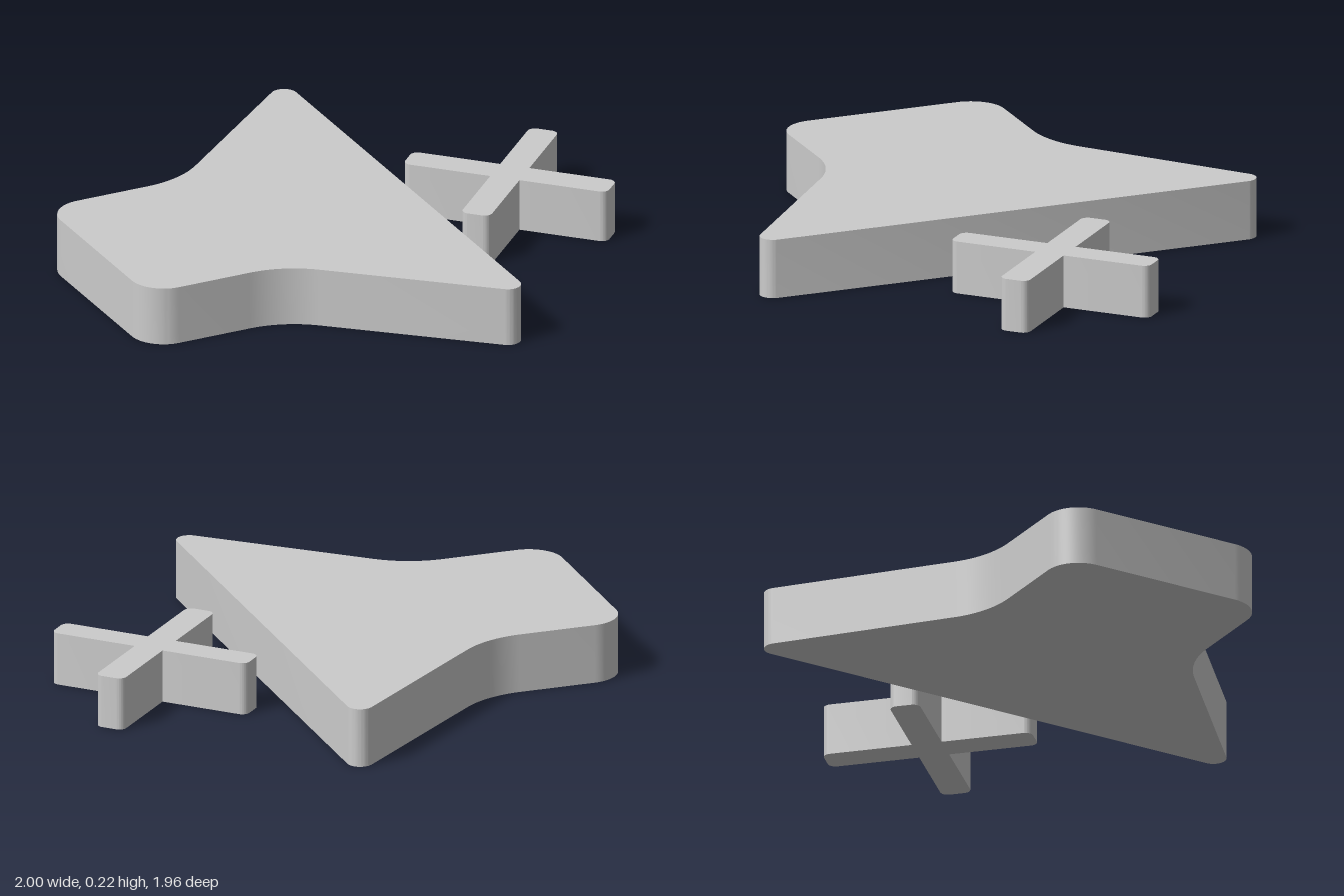
import * as THREE from 'three';
import { toCreasedNormals } from 'three/addons/utils/BufferGeometryUtils.js';

// Closed outline from corners [x, y, radius]; a radius rounds the corner with a tangent arc.
function roundedOutline(corners) {
  const shape = new THREE.Shape();
  const n = corners.length;
  const at = (i) => new THREE.Vector2(corners[(i + n) % n][0], corners[(i + n) % n][1]);
  corners.forEach(([x, y, r], i) => {
    if (!r) {
      shape.lineTo(x, y);
      return;
    }
    const p = at(i);
    const toPrev = at(i - 1).sub(p).normalize();
    const toNext = at(i + 1).sub(p).normalize();
    const half = Math.acos(toPrev.dot(toNext)) / 2;
    const reach = r / Math.tan(half);
    const centre = toPrev.clone().add(toNext).normalize().multiplyScalar(r / Math.sin(half)).add(p);
    const start = toPrev.clone().multiplyScalar(reach).add(p).sub(centre).angle();
    const end = toNext.clone().multiplyScalar(reach).add(p).sub(centre).angle();
    shape.absarc(centre.x, centre.y, r, start, end, toPrev.cross(toNext) > 0);
  });
  shape.closePath();
  return shape;
}

// Flat plate standing on the ground with sharp rims and smooth rounded corners.
function plate(name, corners, height) {
  const extruded = new THREE.ExtrudeGeometry(roundedOutline(corners), {
    depth: height, bevelEnabled: false, curveSegments: 10,
  });
  extruded.rotateX(-Math.PI / 2);
  const mesh = new THREE.Mesh(
    toCreasedNormals(extruded, 0.5),
    new THREE.MeshStandardMaterial({ color: 0xcccccc }),
  );
  mesh.name = name;
  return mesh;
}

export function createModel() {
  const group = new THREE.Group();
  group.name = 'muteIcon';

  // Speaker: square back, flaring cone, pointed rounded tips
  const lower = [[-1, -0.425, 0.13], [-0.445, -0.425, 0.37], [0.275, -1.037, 0.049]];
  const upper = lower.map(([x, y, r]) => [x, -y, r]).reverse();
  group.add(plate('speakerBody', [...lower, ...upper], 0.225));

  // Cross: four rounded arms, turned to the diagonals
  const w = 0.0566, length = 0.396, round = 0.029;
  const corners = [];
  for (let i = 0; i < 4; i++) {
    const a = (i * Math.PI) / 2, c = Math.cos(a), s = Math.sin(a);
    for (const [x, y, r] of [[length, -w, round], [length, w, round], [w, w, 0]]) {
      corners.push([x * c - y * s, x * s + y * c, r]);
    }
  }
  const cross = plate('muteCross', corners, 0.2);
  cross.rotation.y = Math.PI / 4;
  cross.position.x = 0.692;
  group.add(cross);

  return group;
}
